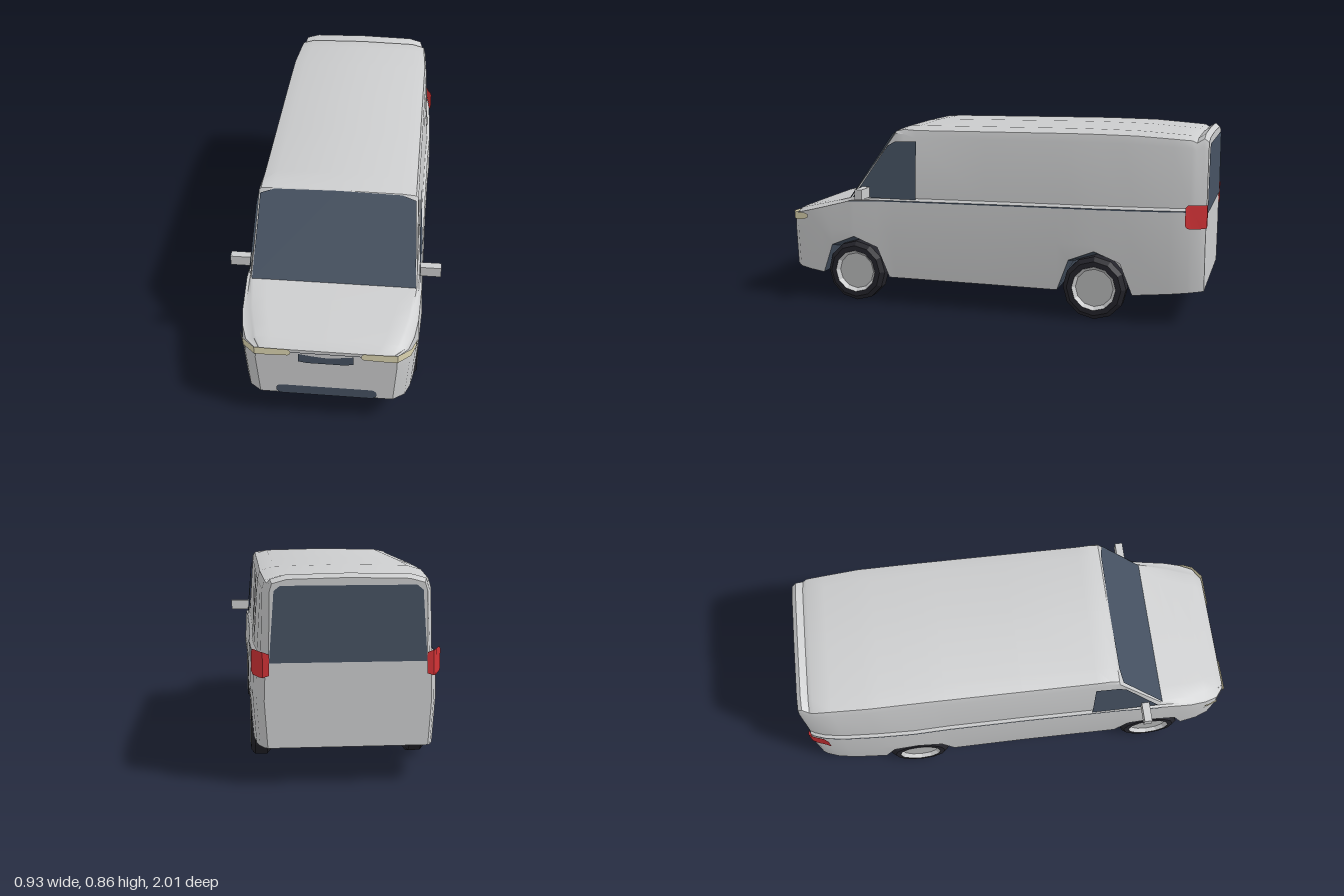
import * as THREE from 'three';
import { toCreasedNormals } from 'three/addons/utils/BufferGeometryUtils.js';

const paint = (name, color) => {
  const m = new THREE.MeshStandardMaterial({ color, side: THREE.DoubleSide });
  m.name = name;
  return m;
};

// Body profiles as [z, value], front to back
const HALF_WIDTH = [[1, 0.3], [0.96, 0.35], [0.9, 0.372], [0.82, 0.385], [0.65, 0.392], [0.475, 0.387], [0, 0.385],
  [-0.35, 0.387], [-0.52, 0.392], [-0.7, 0.387], [-0.85, 0.378], [-0.93, 0.365], [-0.98, 0.348], [-1, 0.335]];
const BELT = [[1, 0.395], [0.96, 0.412], [0.82, 0.448], [0.67, 0.488], [0.475, 0.496], [-1, 0.515]];
const TOP = [[1, 0.403], [0.96, 0.432], [0.67, 0.502], [0.44, 0.83], [0.4, 0.846], [0.34, 0.853],
  [-0.45, 0.862], [-0.7, 0.859], [-0.93, 0.843], [-0.95, 0.832], [-0.98, 0.852], [-1, 0.835]];
const TOP_HALF_WIDTH = [[1, 0.28], [0.96, 0.31], [0.82, 0.345], [0.67, 0.364], [0.44, 0.35], [-0.7, 0.351], [-0.93, 0.338], [-1, 0.312]];
const SQUARENESS = [[0.82, 0.6], [0.67, 0.95], [0.44, 0.95], [0.34, 0.83]];
const SILL = [[1, 0.145], [0.8, 0.125], [-0.7, 0.125], [-1, 0.155]];

// Wheel arch height by distance from the axle
const ARCH = [[0.172, 0], [0.117, 0.27], [0, 0.318]];
const AXLES = [0.648, -0.517];

// Value of a profile at z, straight between its points
function along(profile, z) {
  const i = profile.findIndex((p) => p[0] <= z);
  if (i === 0) return profile[0][1];
  if (i < 0) return profile.at(-1)[1];
  const [[z0, v0], [z1, v1]] = [profile[i - 1], profile[i]];
  return v0 + (v1 - v0) * (z0 - z) / (z0 - z1);
}

const sillAt = (z) => Math.max(along(SILL, z), ...AXLES.map((a) => along(ARCH, Math.abs(z - a))));

// Section positions: body breaks plus the corners of each arch
const STATIONS = [1, 0.96, 0.9, 0.67, 0.44, 0.4, 0.34, 0, -0.85, -0.93, -0.95, -0.98, -1,
  ...AXLES.flatMap((a) => [0.172, 0.117, 0, -0.117, -0.172].map((d) => a + d))].sort((a, b) => b - a);

// Cross-section from left sill over the roof to right sill
function section(z) {
  const sill = sillAt(z), w = along(HALF_WIDTH, z), belt = along(BELT, z);
  const top = along(TOP, z), wTop = along(TOP_HALF_WIDTH, z), k = along(SQUARENESS, z);
  const at = (f) => belt + (top - belt) * f;
  const half = [
    [w - Math.max(0, 0.32 - sill) * 0.08, sill],
    [w, 0.345],
    [w - 0.006, belt],
    [Math.max(w - 0.019, wTop), at(0.04)],
    [wTop, at(k)],
    [wTop - 0.01, at(k + (1 - k) * 0.6)],
    [wTop - 0.07, at(k + (1 - k) * 0.9)],
  ];
  return [...half, [0, top], ...half.map(([x, y]) => [-x, y]).reverse()];
}

// Skin a list of equal-length open sections, ordered front to back
function loft(rings, crease) {
  const n = rings[0].length, index = [];
  for (let s = 0; s < rings.length - 1; s++) {
    for (let i = 0; i < n - 1; i++) {
      const a = s * n + i, b = a + 1, d = a + n, c = d + 1;
      index.push(a, d, b, b, d, c);
    }
  }
  const geo = new THREE.BufferGeometry();
  geo.setAttribute('position', new THREE.Float32BufferAttribute(rings.flat(2), 3));
  geo.setIndex(index);
  geo.computeVertexNormals();
  return toCreasedNormals(geo, crease);
}

const flat = (pts) => new THREE.ShapeGeometry(new THREE.Shape(pts.map(([x, y]) => new THREE.Vector2(x, y))));

// Thin panel: a flat outline carried onto the body by a rule
function panel(pts, rule) {
  const geo = flat(pts), p = geo.attributes.position;
  for (let i = 0; i < p.count; i++) p.setXYZ(i, ...rule(p.getX(i), p.getY(i)));
  geo.computeVertexNormals();
  return geo;
}

// Upright strip wrapped round a plan path of x, z, low y, high y
const ribbon = (path) => loft(path.map(([x, z, lo, hi]) => [[x, lo, z], [x, hi, z]]), 0.6);

function pill(x0, x1, y0, y1) {
  const r = (y1 - y0) / 2, s = new THREE.Shape();
  s.absarc(x1 - r, y0 + r, r, -Math.PI / 2, Math.PI / 2);
  s.absarc(x0 + r, y0 + r, r, Math.PI / 2, Math.PI * 1.5);
  return s.getPoints(8).slice(0, -1).map((p) => [p.x, p.y]);
}

export function createModel() {
  const van = new THREE.Group();
  van.name = 'van';
  const body = paint('light grey paint', 0xcbcccd);
  const slate = paint('slate glass and trim', 0x465262);
  const rubber = paint('tyre rubber', 0x24242b);
  const lamp = paint('pale headlight', 0xded6b2);
  const red = paint('tail light red', 0xd23236);
  const hubGrey = paint('hub grey', 0xb9babb);

  const add = (name, geo, mat, parent = van) => {
    const mesh = new THREE.Mesh(geo, mat);
    mesh.name = name;
    parent.add(mesh);
    return mesh;
  };

  // Shell and its end faces
  add('bodyShell', loft(STATIONS.map((z) => section(z).map(([x, y]) => [x, y, z])), 0.55), body);
  add('noseFace', flat(section(1)), body).position.z = 1;
  add('rearFace', flat(section(-1)).rotateY(Math.PI), body).position.z = -1;

  // Underside with the wheel wells running across
  const floor = STATIONS.map((z) => {
    const [x, y] = section(z)[0], low = y - Math.max(0, y - 0.16) * 0.25;
    return [[-x, y, z], [-0.28, low, z], [0.28, low, z], [x, y, z]];
  });
  add('underbody', loft(floor, 0.2), slate);

  // Front and rear glass
  const screen = [[-0.36, 0.5], [0.36, 0.5], [0.342, 0.81], [0.28, 0.827], [0, 0.831], [-0.28, 0.827], [-0.342, 0.81]];
  add('windscreen', panel(screen, (x, y) => [x, y, 0.676 - (y - 0.5) * 0.7]), slate);
  const rearGlass = [[-0.315, 0.5], [0.315, 0.5], [0.295, 0.785], [0.27, 0.805], [-0.27, 0.805], [-0.295, 0.785]];
  add('rearWindow', panel(rearGlass, (x, y) => [-x, y, -1.004]), slate);

  // Grille, lower intake and bonnet seam
  const nose = (x, y) => [x, y, 1.004];
  const grille = [[-0.117, 0.342], [-0.08, 0.335], [0.08, 0.335], [0.117, 0.342], [0.117, 0.385],
    [0.06, 0.376], [0, 0.37], [-0.06, 0.376], [-0.117, 0.385]];
  add('grille', panel(grille, nose), slate);
  add('lowerIntake', panel(pill(-0.217, 0.217, 0.145, 0.195), nose), slate);
  add('bonnetSeam', panel([[-0.15, 0.39], [0.15, 0.39], [0.15, 0.393], [-0.15, 0.393]], nose), slate);

  // Wheel pieces, axle along x
  const ring = (pts) => toCreasedNormals(
    new THREE.LatheGeometry(pts.map(([r, y]) => new THREE.Vector2(r, y)), 12).rotateZ(-Math.PI / 2), 0.3);
  const tyre = ring([[0.1, -0.043], [0.125, -0.043], [0.145, -0.026], [0.145, 0.026], [0.125, 0.043], [0.1, 0.043]]);
  const rim = ring([[0.086, -0.025], [0.101, -0.045], [0.101, 0.045], [0.086, 0.025]]);
  const hub = new THREE.CylinderGeometry(0.088, 0.088, 0.052, 12).rotateZ(-Math.PI / 2);

  // Everything that repeats on both sides
  for (const side of [1, -1]) {
    const half = new THREE.Group();
    half.name = side > 0 ? 'leftSide' : 'rightSide';
    half.scale.x = side;
    van.add(half);

    const glass = [[0.335, 0.507], [0.652, 0.507], [0.476, 0.757], [0.44, 0.776], [0.335, 0.78]];
    add('sideWindow', panel(glass, (z, y) => [0.377 - (y - 0.505) * 0.066, y, z]), slate, half);

    const beltPath = STATIONS.filter((z) => z < 0.7).map((z) => {
      const y = along(BELT, z);
      return [along(HALF_WIDTH, z) - 0.004, z, y - 0.003, y + 0.003];
    });
    add('beltLine', ribbon(beltPath), slate, half);

    add('headlight', ribbon([
      [0.15, 1.005, 0.382, 0.398], [0.16, 1.005, 0.374, 0.408], [0.25, 1.005, 0.371, 0.409],
      [0.302, 1.005, 0.372, 0.411], [0.356, 0.962, 0.378, 0.415], [0.374, 0.915, 0.386, 0.416],
      [0.378, 0.895, 0.394, 0.41],
    ]), lamp, half);

    add('tailLight', ribbon([
      [0.384, -0.915, 0.455, 0.535], [0.378, -0.925, 0.442, 0.545], [0.371, -0.935, 0.44, 0.545],
      [0.354, -0.982, 0.44, 0.545], [0.341, -1.005, 0.442, 0.545], [0.315, -1.005, 0.45, 0.535],
    ]), red, half);

    const mirror = add('doorMirror', new THREE.BoxGeometry(0.095, 0.048, 0.036), body, half);
    mirror.position.set(0.418, 0.534, 0.585);

    AXLES.forEach((z, i) => {
      const wheel = new THREE.Group();
      wheel.name = ['frontWheel', 'rearWheel'][i];
      wheel.position.set(0.339, 0.145, z);
      add('tyre', tyre, rubber, wheel);
      add('rim', rim, body, wheel);
      add('hub', hub, hubGrey, wheel);
      half.add(wheel);
    });
  }
  return van;
}
